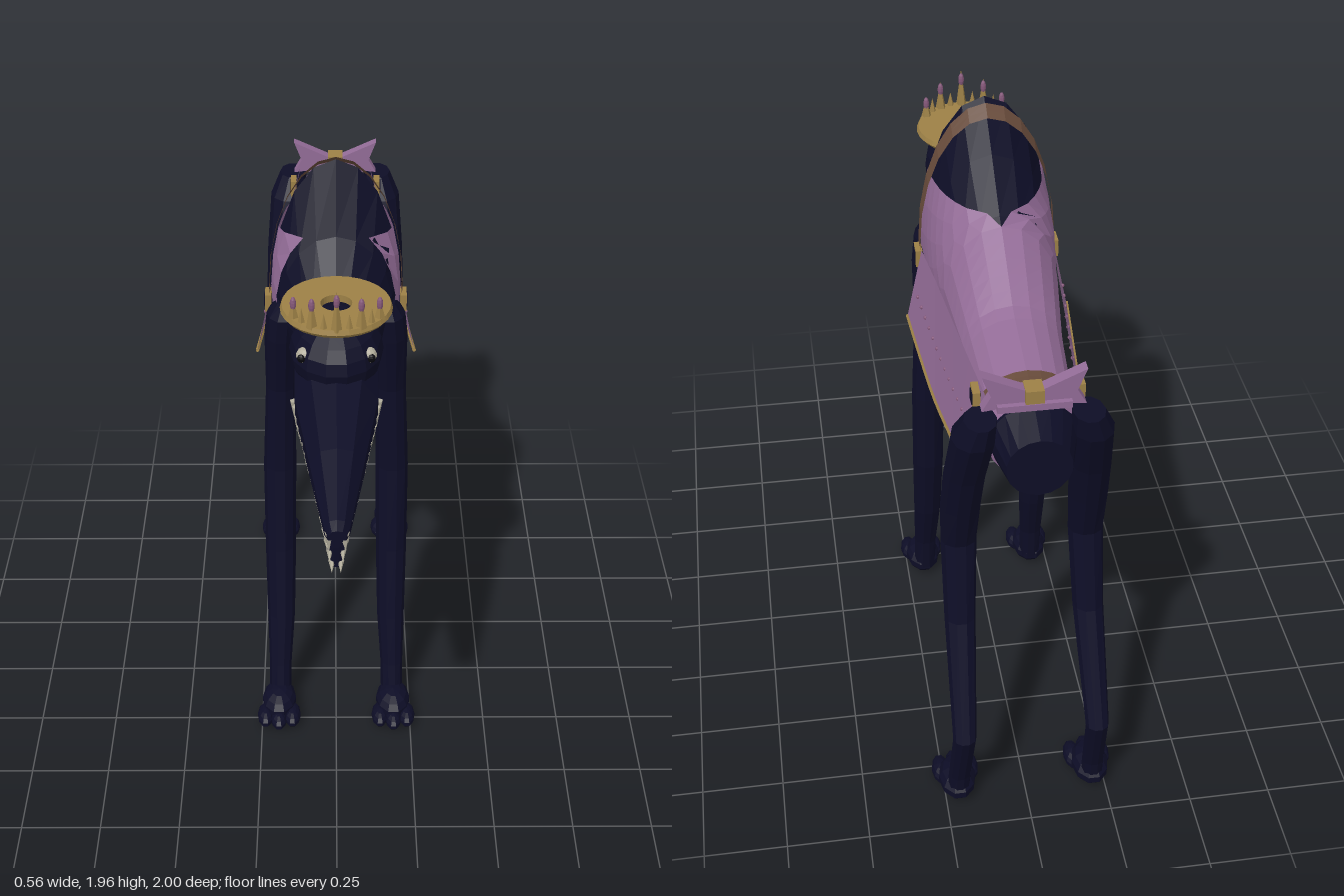
import * as THREE from 'three';

const mat = (name, color, side = THREE.FrontSide) => {
  const m = new THREE.MeshStandardMaterial({ color, side, flatShading: true });
  m.name = name;
  return m;
};

// Skin a list of equal-length rings; optionally close each ring and cap the ends
function loft(rings, closed = true) {
  const n = rings[0].length, pos = rings.flat(2), idx = [];
  const cols = closed ? n : n - 1;
  for (let i = 0; i < rings.length - 1; i++) for (let j = 0; j < cols; j++) {
    const a = i * n + j, b = i * n + (j + 1) % n, c = a + n, d = b + n;
    idx.push(a, b, d, a, d, c);
  }
  if (closed) for (let j = 1; j < n - 1; j++) {
    const e = (rings.length - 1) * n;
    idx.push(0, j + 1, j, e, e + j, e + j + 1);
  }
  const g = new THREE.BufferGeometry();
  g.setAttribute('position', new THREE.Float32BufferAttribute(pos, 3));
  g.setIndex(idx);
  g.computeVertexNormals();
  return g;
}

// Torso stations: z, top, bottom, half width, height of widest point
const BODY = [
  [-1.0, 1.47, 1.29, 0.09, 1.38], [-0.9, 1.51, 1.28, 0.12, 1.41], [-0.8, 1.52, 1.29, 0.12, 1.42],
  [-0.55, 1.57, 1.3, 0.135, 1.45], [-0.3, 1.735, 1.29, 0.165, 1.49], [-0.15, 1.85, 1.28, 0.185, 1.51],
  [0, 1.96, 1.28, 0.19, 1.52], [0.08, 1.75, 1.31, 0.17, 1.51], [0.18, 1.62, 1.35, 0.11, 1.49],
  [0.19, 1.64, 1.47, 0.08, 1.55], [0.3, 1.64, 1.48, 0.08, 1.56],
];
function station(z) {
  let i = 0;
  while (i < BODY.length - 2 && BODY[i + 1][0] < z) i++;
  const a = BODY[i], b = BODY[i + 1], t = (z - a[0]) / (b[0] - a[0]);
  return a.map((v, k) => v + (b[k] - v) * t);
}
// Cross-section of the torso; with a ceiling it becomes an open arc below that height
function section(z, grow = 0, ceiling = null, n = 18) {
  const [, top, bot, w, cy] = station(z);
  const lim = ceiling === null ? Math.PI / 2 : Math.asin(Math.min(1, (ceiling - cy) / (top - cy)));
  const count = ceiling === null ? n : n + 1, pts = [];
  for (let j = 0; j < count; j++) {
    const t = -Math.PI - lim + (j / n) * (Math.PI + 2 * lim), s = Math.sin(t);
    pts.push([(w + grow) * Math.cos(t), cy + s * ((s > 0 ? top - cy : cy - bot) + grow), z]);
  }
  return pts;
}
// Upright limb: stations of y, x, z, radius x, radius z from the ground up
const limb = (stations, n = 10) => loft(stations.map(([y, x, z, rx, rz]) =>
  Array.from({ length: n }, (_, j) => {
    const t = (j / n) * Math.PI * 2;
    return [x + rx * Math.cos(t), y, z - rz * Math.sin(t)];
  })));

export function createModel() {
  const model = new THREE.Group();
  const D = THREE.DoubleSide;
  const hide = mat('midnight hide', 0x0d0d26, D), cloth = mat('mauve cloth', 0x936c97, D);
  const gold = mat('old gold', 0x9c8046, D), leather = mat('brown leather', 0x664a3a, D);
  const bone = mat('bone', 0xb2ad9c), pupil = mat('black', 0x08080e), gem = mat('rose gem', 0x85587a);

  const add = (name, geo, material, parent = model, p = [0, 0, 0], s = [1, 1, 1]) => {
    const m = new THREE.Mesh(geo, material);
    m.name = name;
    m.position.set(...p);
    m.scale.set(...s);
    parent.add(m);
    return m;
  };
  const ball = new THREE.SphereGeometry(1, 10, 7);

  // Torso with its peaked hump, and the blanket wrapped below the hump
  add('torso', loft(BODY.map(b => section(b[0]))), hide);
  const zs = Array.from({ length: 25 }, (_, i) => -0.9 + i * 0.97 / 24);
  add('blanket', loft(zs.map(z => section(z, 0.007, 1.735)), false), cloth);
  const strap = (name, z0, z1, g) =>
    add(name, loft([z0, (z0 + z1) / 2, z1].map(z => section(z, g, 3, 24)), false), leather);
  strap('girthStrap', -0.07, -0.03, 0.015);
  strap('rearStrap', -0.82, -0.78, 0.016);

  for (const s of [1, -1]) {
    // Flared side skirt with gold hem and studs
    const hem = [[0.247, 1.27, -0.07], [0.232, 1.25, -0.25], [0.212, 1.235, -0.47], [0.188, 1.248, -0.68], [0.165, 1.262, -0.87]];
    const upper = hem.map(([, , z], i) => [s * (0.2 - 0.02 * i), 1.5 + 0.005 * i, z]);
    const lower = hem.map(([x, y, z]) => [s * x, y, z]);
    add('sideSkirt', loft([upper, lower], false), cloth);
    const curve = new THREE.CatmullRomCurve3(lower.map(p => new THREE.Vector3(...p)));
    add('skirtHem', new THREE.TubeGeometry(curve, 12, 0.006, 5), gold);
    for (let i = 0; i < 14; i++) {
      const t = 0.08 + i * 0.064, z = -0.07 - 0.8 * t;
      add('skirtStud', ball, gem, model, [s * (0.227 - 0.081 * t), 1.38 - 0.02 * Math.sin(t * Math.PI), z], [0.006, 0.006, 0.006]);
    }
    // Buckles
    for (const [x, y, z] of [[0.207, 1.47, -0.045], [0.142, 1.485, -0.8]]) {
      add('buckle', new THREE.BoxGeometry(0.02, 0.055, 0.055), gold, model, [s * x, y, z]);
      add('buckleCentre', new THREE.BoxGeometry(0.026, 0.034, 0.034), hide, model, [s * x, y, z]);
    }
    // Bow wing
    const wing = new THREE.Shape([[0.01, 1.52], [0.14, 1.505], [0.115, 1.55], [0.14, 1.615], [0.01, 1.555]]
      .map(([x, y]) => new THREE.Vector2(s * x, y)));
    add('bowWing', new THREE.ExtrudeGeometry(wing, { depth: 0.035, bevelEnabled: false }), cloth, model, [0, 0, -0.9]);

    // Long legs
    add('frontLeg', limb([
      [0.04, s * 0.19, 0.17, 0.036, 0.04], [0.17, s * 0.188, 0.148, 0.037, 0.032], [0.35, s * 0.183, 0.105, 0.045, 0.042],
      [0.6, s * 0.182, 0.055, 0.05, 0.05], [0.9, s * 0.18, 0.022, 0.052, 0.048], [1.2, s * 0.172, 0.017, 0.047, 0.05],
      [1.4, s * 0.167, 0.04, 0.052, 0.068], [1.48, s * 0.16, 0.05, 0.05, 0.068], [1.525, s * 0.155, 0.055, 0.025, 0.04]]), hide);
    add('rearLeg', limb([
      [0.04, s * 0.21, -0.88, 0.034, 0.036], [0.12, s * 0.208, -0.895, 0.034, 0.031], [0.35, s * 0.2, -0.963, 0.035, 0.033],
      [0.7, s * 0.19, -0.803, 0.046, 0.048], [0.95, s * 0.185, -0.75, 0.052, 0.046], [1.1, s * 0.182, -0.778, 0.058, 0.062],
      [1.25, s * 0.175, -0.822, 0.06, 0.07], [1.42, s * 0.16, -0.885, 0.062, 0.08], [1.49, s * 0.145, -0.91, 0.045, 0.06]]), hide);
    for (const [x, z] of [[0.193, 0.17], [0.21, -0.885]]) {
      const foot = new THREE.Group();
      foot.name = 'foot';
      foot.position.set(s * x, 0, z);
      model.add(foot);
      add('footPad', ball, hide, foot, [0, 0.05, 0.04], [0.058, 0.048, 0.085]);
      for (const t of [-1, 0, 1])
        add('toe', ball, hide, foot, [t * 0.045, 0.028, 0.095 + (t ? 0 : 0.015)], [0.028, 0.028, 0.055]);
    }

    // Eye
    add('eye', ball, bone, model, [s * 0.09, 1.575, 0.455], [0.024, 0.024, 0.024]);
    add('pupil', ball, pupil, model, [s * 0.098, 1.575, 0.473], [0.012, 0.013, 0.01]);

    // Cheek skin at the jaw hinge
    const cheek = new THREE.BufferGeometry().setFromPoints([[0.11, 1.43, 0.46], [0.09, 1.43, 0.29], [0.1, 1.25, 0.31]]
      .map(([x, y, z]) => new THREE.Vector3(s * x, y, z)));
    cheek.computeVertexNormals();
    add('cheek', cheek, hide);

    // Teeth along the upper and lower jaws
    const tooth = new THREE.ConeGeometry(0.012, 0.07, 5);
    for (let i = 0; i < 15; i++) {
      const t = i / 14, k = 0.8 + 0.25 * ((i * 7) % 4) / 3;
      const up = add('upperTooth', tooth, bone, model,
        [s * (0.122 - 0.1 * t), 1.385 - 0.068 * t, 0.44 + 0.54 * t], [1, k, 1]);
      up.rotation.x = Math.PI;
      const low = add('lowerTooth', tooth, bone, model,
        [s * (0.112 - 0.098 * t), 1.335 - 0.6 * t, 0.352 - 0.005 * t], [1, k, 1]);
      low.rotation.x = Math.PI / 2;
    }
  }
  add('bowKnot', new THREE.BoxGeometry(0.05, 0.05, 0.055), gold, model, [0, 1.54, -0.885]);
  add('bowBand', new THREE.BoxGeometry(0.2, 0.02, 0.05), cloth, model, [0, 1.515, -0.89]);
  add('neckTag', new THREE.BoxGeometry(0.03, 0.06, 0.02), leather, model, [0, 1.46, 0.2]);

  // Skull, long snout and hanging lower jaw
  add('skull', new THREE.SphereGeometry(1, 14, 10), hide, model, [0, 1.545, 0.365], [0.135, 0.118, 0.165]);
  const snout = [[0.36, 1.58, 1.43, 0.12], [0.5, 1.53, 1.4, 0.118], [0.75, 1.46, 1.37, 0.075], [0.97, 1.385, 1.335, 0.034], [1.0, 1.37, 1.34, 0.024]];
  add('snout', loft(snout.map(([z, t, b, w]) =>
    [[w, b], [w, b + (t - b) * 0.45], [w * 0.6, t - (t - b) * 0.1], [0, t], [-w * 0.6, t - (t - b) * 0.1], [-w, b + (t - b) * 0.45], [-w, b]]
      .map(([x, y]) => [x, y, z]))), hide);
  add('lowerJaw', limb([[0.72, 0, 0.32, 0.018, 0.014], [0.8, 0, 0.318, 0.034, 0.02], [1.1, 0, 0.305, 0.08, 0.028],
    [1.3, 0, 0.3, 0.115, 0.03], [1.39, 0, 0.3, 0.11, 0.03], [1.46, 0, 0.32, 0.08, 0.03]]), hide);

  // Flat disc crown with spikes across the brow
  const crown = new THREE.Group();
  crown.name = 'crown';
  crown.position.set(0, 1.66, 0.355);
  model.add(crown);
  const profile = [[0.045, 0.004], [0.15, 0], [0.16, 0.012], [0.155, 0.026], [0.045, 0.026], [0.045, 0.004]];
  add('crownDisc', new THREE.LatheGeometry(profile.map(p => new THREE.Vector2(...p)), 28), gold, crown);
  for (let i = -4; i <= 4; i++) {
    const a = i * 0.25, big = i % 2 === 0;
    const h = big ? 0.125 - Math.abs(i) * 0.015 : 0.05;
    const x = 0.143 * Math.sin(a), z = 0.143 * Math.cos(a);
    add('crownSpike', new THREE.ConeGeometry(big ? 0.017 : 0.012, h, 5), gold, crown, [x, 0.02 + h / 2, z]);
    if (big) add('crownGem', ball, gem, crown, [x, h * 0.72 + 0.02, z], [0.009, 0.022, 0.009]);
  }
  return model;
}
